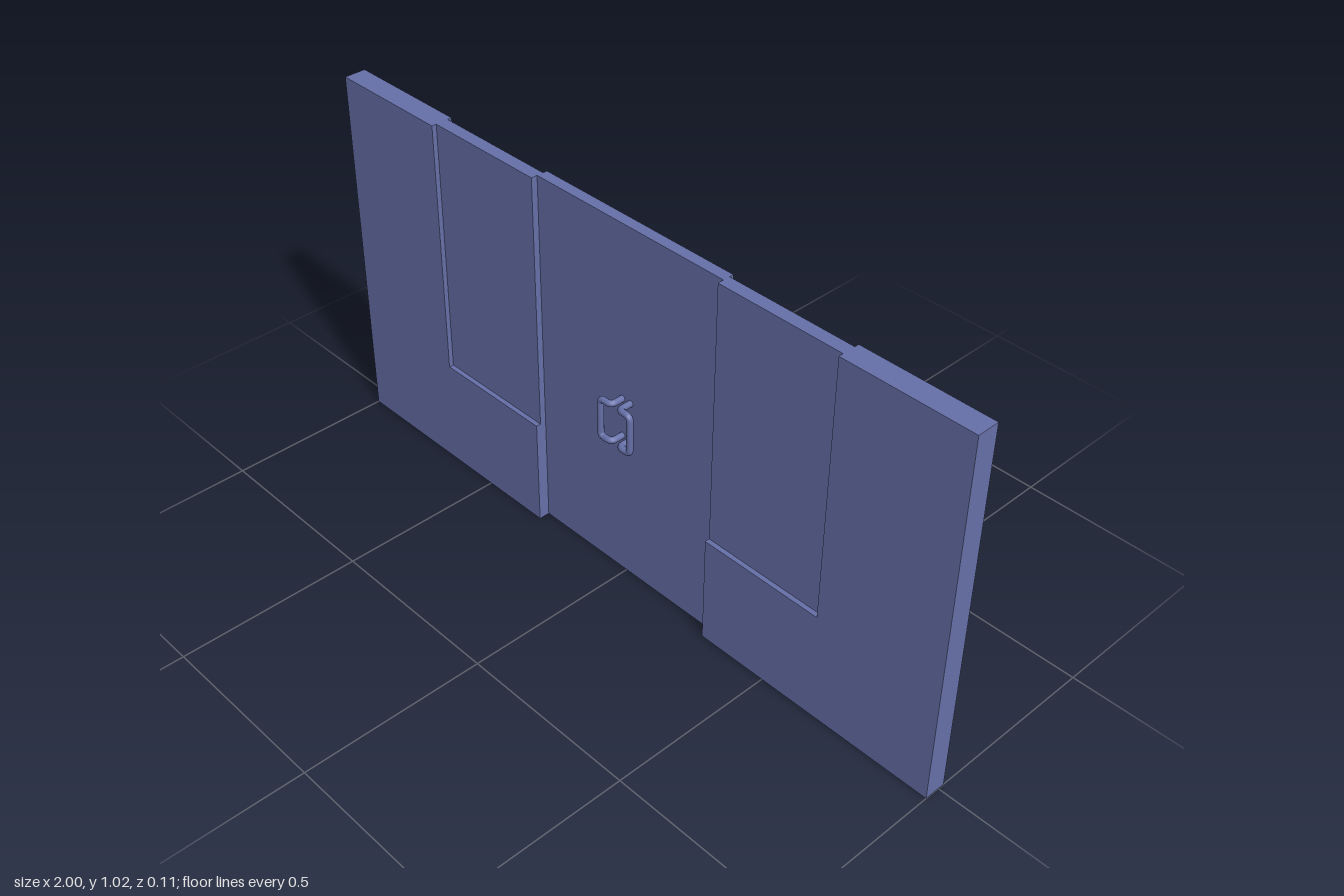
import * as THREE from 'three';

const material = new THREE.MeshStandardMaterial({ color: 0x6670a8 });
const HEIGHT = 1.017, BACK = -0.018, FRONT = 0.042, DOOR_FRONT = 0.012;
const OPENING = 0.3, PIER = 0.65, SILL = 0.305;

function addMesh(parent, name, geometry) {
  const mesh = new THREE.Mesh(geometry, material);
  mesh.name = name;
  parent.add(mesh);
}

// Box given by its lower and upper corners
function box(x0, x1, y0, y1, z0, z1) {
  return new THREE.BoxGeometry(x1 - x0, y1 - y0, z1 - z0)
    .translate((x0 + x1) / 2, (y0 + y1) / 2, (z0 + z1) / 2);
}

// Polyline whose inner corners are rounded off
function roundedPath(points, radius) {
  const path = new THREE.CurvePath();
  let start = points[0];
  for (let i = 1; i < points.length - 1; i++) {
    const p = points[i];
    const toward = (q) => p.clone().add(q.clone().sub(p).setLength(radius));
    const a = toward(points[i - 1]), b = toward(points[i + 1]);
    path.add(new THREE.LineCurve3(start, a));
    path.add(new THREE.QuadraticBezierCurve3(a, p, b));
    start = b;
  }
  path.add(new THREE.LineCurve3(start, points[points.length - 1]));
  return path;
}

// Pull handle: stem out of the door, bend sideways, upright grip, and back
function handle(side, zDoor, zGrip) {
  const low = 0.424, high = 0.534, stem = side * 0.014, grip = side * 0.051;
  const points = [
    [stem, low, zDoor], [stem, low, zGrip], [grip, low, zGrip],
    [grip, high, zGrip], [stem, high, zGrip], [stem, high, zDoor],
  ].map((p) => new THREE.Vector3(...p));
  return new THREE.TubeGeometry(roundedPath(points, 0.014), 96, 0.0088, 12);
}

export function createModel() {
  const model = new THREE.Group();
  model.name = 'doubleDoorWall';

  for (const [side, label] of [[1, 'left'], [-1, 'right']]) {
    const half = new THREE.Group();
    half.name = label + 'Half';
    model.add(half);
    const span = (a, b) => (side > 0 ? [a, b] : [-b, -a]);

    // L-shaped wall around the recess
    const outline = new THREE.Shape([
      [OPENING, 0], [1, 0], [1, HEIGHT], [PIER, HEIGHT], [PIER, SILL], [OPENING, SILL],
    ].map(([x, y]) => new THREE.Vector2(side * x, y)));
    addMesh(half, label + 'Wall', new THREE.ExtrudeGeometry(outline, {
      depth: FRONT - BACK, bevelEnabled: false,
    }).translate(0, 0, BACK));

    // Thinner panel set back from both faces
    addMesh(half, label + 'RecessedPanel',
      box(...span(OPENING, PIER), SILL, HEIGHT, BACK + 0.012, FRONT - 0.013));

    // Door leaf, flush with the back of the wall
    addMesh(half, label + 'DoorLeaf',
      box(...span(0, OPENING), 0, HEIGHT, BACK, DOOR_FRONT));

    addMesh(half, label + 'FrontHandle', handle(side, DOOR_FRONT - 0.005, 0.049));
    addMesh(half, label + 'BackHandle', handle(side, BACK + 0.005, -0.047));
  }
  return model;
}
